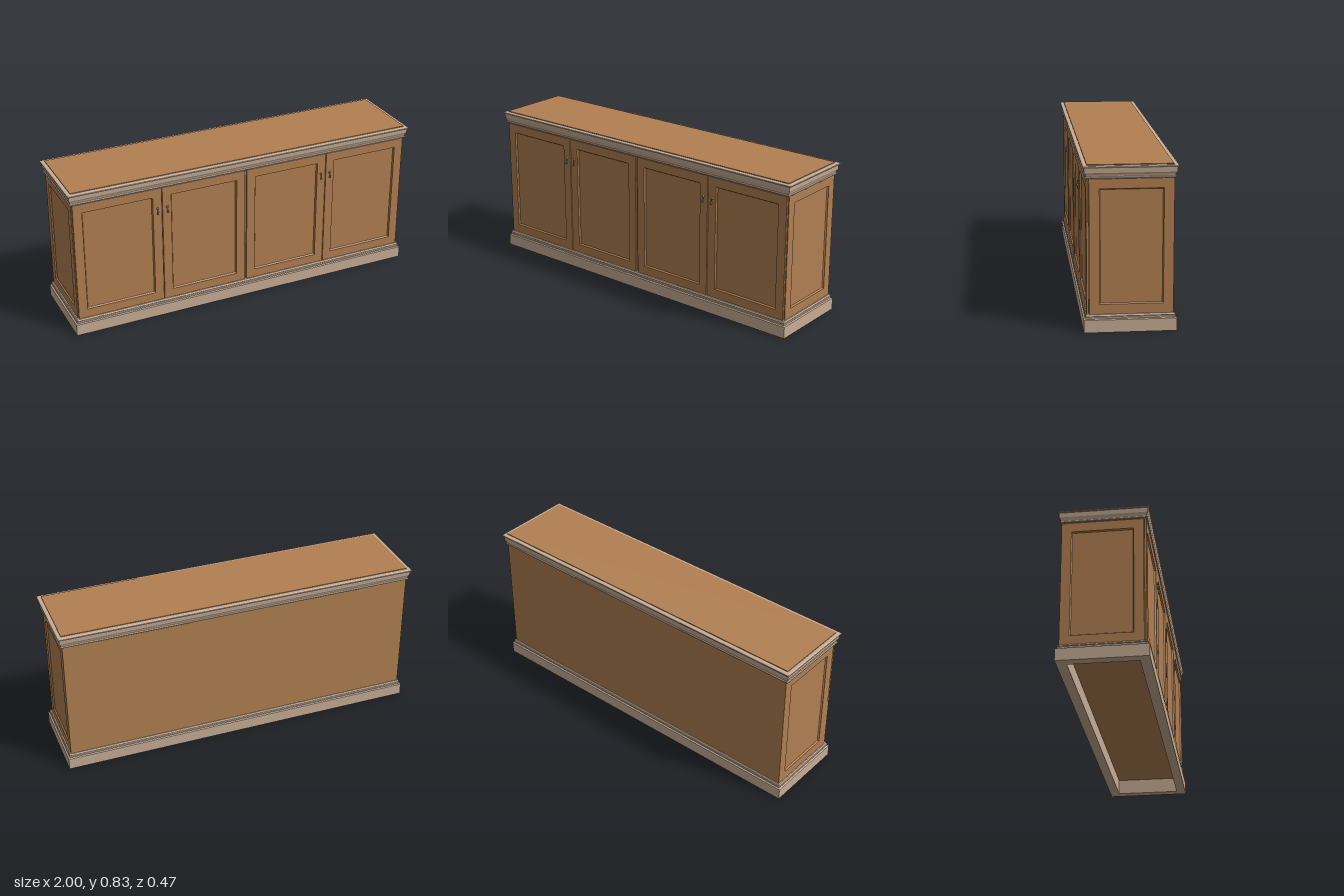
import * as THREE from 'three';

const mat = (name, color) => {
  const m = new THREE.MeshStandardMaterial({ color });
  m.name = name;
  return m;
};

// Sweeps a profile of [offset, level] points round a rectangle in XY with mitred corners.
// Positive offsets grow the rectangle; level runs along z. cap closes the last loop.
function rectSweep(hw, hh, profile, cap = false) {
  const pos = [];
  const corners = [[-1, -1], [1, -1], [1, 1], [-1, 1]];
  const at = ([o, z], k) => {
    const [sx, sy] = corners[k % 4];
    return [sx * (hw + o), sy * (hh + o), z];
  };
  const quad = (a, b, c, d) => pos.push(...a, ...b, ...c, ...a, ...c, ...d);
  for (let i = 0; i < profile.length - 1; i++) {
    const p = profile[i], q = profile[i + 1];
    for (let k = 0; k < 4; k++) quad(at(p, k), at(p, k + 1), at(q, k + 1), at(q, k));
  }
  if (cap) {
    const l = profile[profile.length - 1];
    quad(at(l, 0), at(l, 1), at(l, 2), at(l, 3));
  }
  const g = new THREE.BufferGeometry();
  g.setAttribute('position', new THREE.Float32BufferAttribute(pos, 3));
  g.computeVertexNormals();
  return g;
}

export function createModel() {
  const root = new THREE.Group();
  root.name = 'sideboard';
  const wood = mat('warm wood', 0xb28052);
  const trim = mat('pale wood trim', 0xc8ae96);
  const metal = mat('handle metal', 0x8c867f);

  const add = (name, geo, material, x = 0, y = 0, z = 0, parent = root) => {
    const m = new THREE.Mesh(geo, material);
    m.name = name;
    m.position.set(x, y, z);
    parent.add(m);
    return m;
  };

  // carcass
  add('carcass', new THREE.BoxGeometry(1.936, 0.72, 0.414), wood, 0, 0.445, -0.006);

  // hollow plinth with a stepped moulding on top
  const plinth = [[-0.036, 0.086], [-0.036, 0], [0.016, 0], [0.016, 0.064], [0.008, 0.067],
    [0.009, 0.071], [0.008, 0.075], [0.005, 0.077], [0.008, 0.08], [0.007, 0.084],
    [0.004, 0.088], [-0.02, 0.088]];
  add('plinth', rectSweep(0.979, 0.213, plinth).rotateX(-Math.PI / 2), trim);

  // crown moulding
  const crown = [[-0.02, 0.766], [0.004, 0.766], [0.008, 0.769], [0.008, 0.773], [0.004, 0.777],
    [0.004, 0.78], [0.006, 0.787], [0.009, 0.793], [0.011, 0.796], [0.012, 0.808],
    [0.013, 0.82], [0.018, 0.82], [0.02, 0.824], [0.019, 0.828], [0.014, 0.831], [-0.02, 0.831]];
  add('crownMoulding', rectSweep(0.98, 0.213, crown).rotateX(-Math.PI / 2), trim);

  // top board
  add('topBoard', new THREE.BoxGeometry(1.956, 0.035, 0.42), wood, 0, 0.8175, 0.001);

  // recessed side panels
  const sideProfile = [[0, 0], [0, 0.01], [-0.05, 0.01], [-0.051, 0.006], [-0.055, 0.002]];
  for (const s of [-1, 1]) {
    const g = rectSweep(0.207, 0.339, sideProfile, true).rotateY(s * Math.PI / 2);
    add(s > 0 ? 'leftSidePanel' : 'rightSidePanel', g, wood, s * 0.967, 0.427, -0.006);
  }

  // four doors with recessed panels
  const doorProfile = [[0, 0], [0, 0.01], [-0.001, 0.011], [-0.05, 0.011], [-0.051, 0.007], [-0.055, 0.002]];
  const doors = [[-0.974, -0.487], [-0.484, -0.005], [0.005, 0.484], [0.487, 0.974]];
  doors.forEach(([a, b], i) => {
    add('door' + (i + 1), rectSweep((b - a) / 2, 0.337, doorProfile, true), wood, (a + b) / 2, 0.427, 0.204);
  });
  // dark-gap backing behind the doors
  add('doorSpacer', new THREE.BoxGeometry(1.93, 0.66, 0.006), wood, 0, 0.427, 0.203);

  // drop pulls: a small boss with a hanging teardrop
  const drop = new THREE.LatheGeometry([[0, -0.021], [0.004, -0.019], [0.0055, -0.015], [0.004, -0.008],
    [0.002, 0], [0.002, 0.012], [0, 0.014]].map(p => new THREE.Vector2(...p)), 12);
  const boss = new THREE.CylinderGeometry(0.004, 0.007, 0.008, 12).rotateX(Math.PI / 2);
  for (const x of [-0.512, -0.457, 0.457, 0.512]) {
    const h = new THREE.Group();
    h.name = 'handle';
    h.position.set(x, 0.635, 0.215);
    add('handleBoss', boss, metal, 0, 0.012, 0.004, h);
    add('handleDrop', drop, metal, 0, 0, 0.006, h).rotation.x = -0.06;
    root.add(h);
  }
  return root;
}
